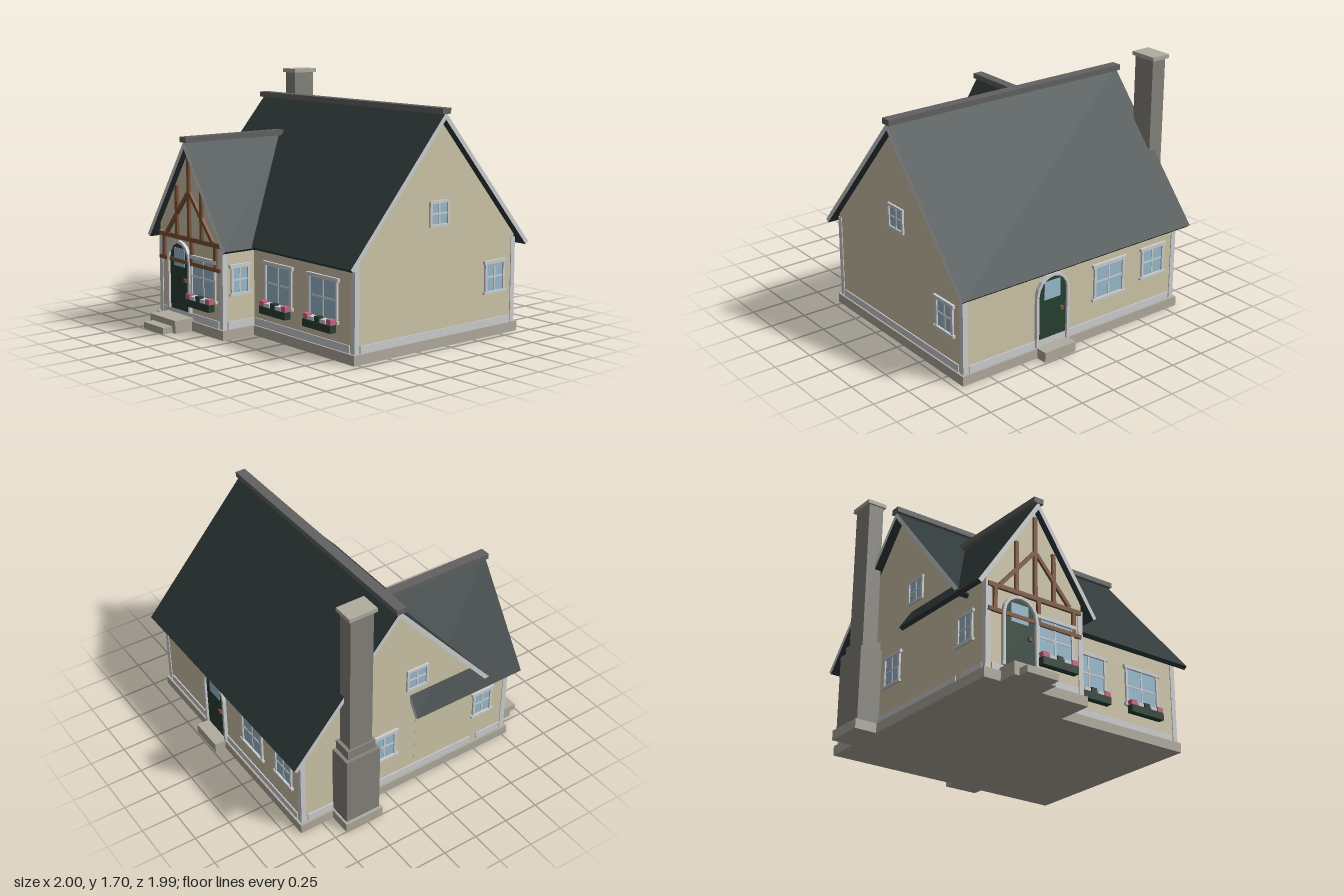
import * as THREE from 'three';

const mat = (name, color) => Object.assign(new THREE.MeshStandardMaterial({ color }), { name });
const M = {
  wall: mat('cream plaster', 0xd0c7ab),
  trim: mat('pale trim', 0xcfd0d2),
  roof: mat('dark slate', 0x2f3939),
  ridge: mat('ridge grey', 0x626262),
  stone: mat('pale stone', 0xb2ac9f),
  brick: mat('chimney grey', 0x85837b),
  green: mat('dark green', 0x284032),
  glass: mat('window blue', 0x9abccf),
  timber: mat('timber brown', 0x7c5236),
  pink: mat('flower pink', 0xcc6482),
};

function add(parent, name, geometry, material) {
  const mesh = new THREE.Mesh(geometry, material);
  mesh.name = name;
  parent.add(mesh);
  return mesh;
}

// Box given by its min and max on each axis
function box(parent, name, m, x0, x1, y0, y1, z0, z1) {
  const mesh = add(parent, name, new THREE.BoxGeometry(x1 - x0, y1 - y0, z1 - z0), m);
  mesh.position.set((x0 + x1) / 2, (y0 + y1) / 2, (z0 + z1) / 2);
  return mesh;
}

function extrude(points, depth) {
  const shape = new THREE.Shape(points.map(([x, y]) => new THREE.Vector2(x, y)));
  return new THREE.ExtrudeGeometry(shape, { depth, bevelEnabled: false });
}

// Gabled roof over a matching pentagon wall, running along local z
function gable(parent, name, o) {
  const g = new THREE.Group();
  g.name = name;
  const slope = (o.peak - o.eave) / o.half;
  const a = Math.atan(slope), t = 0.03;
  const under = o.peak - t / Math.cos(a);
  const lx = o.half - t * Math.sin(a), ly = o.eave - t * Math.cos(a);
  const roof = add(g, name + 'Roof', extrude([[-o.half, o.eave], [-lx, ly], [0, under],
    [lx, ly], [o.half, o.eave], [0, o.peak]], o.roof[1] - o.roof[0]), [M.trim, M.roof]);
  roof.position.z = o.roof[0];
  const top = under + 0.005, side = top - slope * o.wallHalf;
  const wall = add(g, name + 'Walls', extrude([[-o.wallHalf, 0.06], [o.wallHalf, 0.06],
    [o.wallHalf, side], [0, top], [-o.wallHalf, side]], o.wall[1] - o.wall[0]), M.wall);
  wall.position.z = o.wall[0];
  box(g, name + 'RidgeCap', M.ridge, -0.036, 0.036, o.peak - 0.01, o.peak + 0.027, ...o.cap);
  parent.add(g);
  return g;
}

// Group standing on a wall, its local +z pointing out of the wall
function onWall(parent, name, x, z, turn) {
  const g = new THREE.Group();
  g.name = name;
  g.position.set(x, 0, z);
  g.rotation.y = turn * Math.PI / 2;
  parent.add(g);
  return g;
}

function makeWindow(g, w, y0, y1, lintel = true) {
  const h = w / 2, f = 0.018, my = (y0 + y1) / 2;
  box(g, 'glass', M.glass, -h + f, h - f, y0 + f, y1 - f, 0, 0.004);
  for (const s of [-1, 1]) box(g, 'frameSide', M.trim, s * (h - f / 2) - f / 2, s * (h - f / 2) + f / 2, y0, y1, 0, 0.014);
  const e = lintel ? 0.013 : 0;
  box(g, 'sill', M.trim, -h - e, h + e, y0, y0 + f, 0, lintel ? 0.02 : 0.014);
  box(g, 'lintel', M.trim, -h - e, h + e, y1 - f - e / 2, y1, 0, lintel ? 0.018 : 0.014);
  box(g, 'mullion', M.trim, -0.006, 0.006, y0 + f, y1 - f, 0, 0.008);
  box(g, 'glazingBar', M.trim, -h + f, h - f, my - 0.006, my + 0.006, 0, 0.008);
}

function makePlanter(g) {
  box(g, 'planter', M.green, -0.137, 0.137, 0.175, 0.225, 0.015, 0.062);
  const blooms = [M.pink, M.trim, M.green, M.trim, M.pink];
  blooms.forEach((m, i) => {
    const x = (i - 2) * 0.057, r = i % 2 ? 0.026 : 0.022;
    box(g, 'bloom', m, x - r, x + r, 0.225, i % 2 ? 0.25 : 0.26, 0.018, 0.058);
  });
}

// Arched outline, walked counter-clockwise
function archPoints(r, y0, spring) {
  const pts = [[-r, y0], [r, y0]];
  for (let i = 0; i <= 8; i++) pts.push([r * Math.cos(i * Math.PI / 8), spring + r * Math.sin(i * Math.PI / 8)]);
  return pts;
}

function makeDoor(g, y0, spring) {
  const outer = archPoints(0.134, y0, spring), inner = archPoints(0.114, y0, spring);
  add(g, 'doorFrame', extrude([inner[1], ...outer.slice(1), outer[0], inner[0], ...inner.slice(2).reverse()], 0.024), M.trim);
  add(g, 'doorLeaf', extrude(inner, 0.008), M.green);
  box(g, 'doorGlass', M.glass, -0.064, 0.064, spring - 0.045, spring + 0.08, 0.006, 0.012);
  box(g, 'doorHandle', M.timber, 0.06, 0.085, spring - 0.145, spring - 0.12, 0.006, 0.025);
}

export function createModel() {
  const house = new THREE.Group();
  house.name = 'cottage';

  // Foundations and steps
  box(house, 'mainFoundation', M.stone, -0.845, 0.955, 0, 0.066, -0.912, 0.532);
  box(house, 'wingFoundation', M.stone, -0.845, -0.062, 0, 0.066, 0.5, 0.787);
  box(house, 'chimneyFoundation', M.stone, -1, -0.8, 0, 0.066, -0.665, -0.38);
  box(house, 'frontUpperStep', M.stone, -0.725, -0.42, 0, 0.087, 0.76, 0.92);
  box(house, 'frontLowerStep', M.stone, -0.69, -0.457, 0, 0.045, 0.9, 0.995);
  box(house, 'backStep', M.stone, 0.12, 0.37, 0, 0.07, -0.99, -0.88);

  // Main house runs along x, front wing along z
  const main = gable(house, 'main', { half: 0.782, eave: 0.61, peak: 1.515, wallHalf: 0.7,
    roof: [-0.88, 0.99], wall: [-0.82, 0.935], cap: [-0.89, 0.997] });
  main.rotation.y = Math.PI / 2;
  main.position.z = -0.19;
  const wing = gable(house, 'wing', { half: 0.457, eave: 0.602, peak: 1.283, wallHalf: 0.3675,
    roof: [-0.05, 0.81], wall: [0, 0.765], cap: [0, 0.816] });
  wing.position.x = -0.4535;

  // Chimney
  box(house, 'chimneyBase', M.brick, -0.98, -0.81, 0.06, 0.585, -0.65, -0.395);
  box(house, 'chimneyShoulder', M.brick, -0.957, -0.81, 0.585, 0.65, -0.625, -0.415);
  box(house, 'chimneyStack', M.brick, -0.945, -0.835, 0.65, 1.675, -0.602, -0.435);
  box(house, 'chimneyCap', M.stone, -0.962, -0.82, 1.67, 1.697, -0.62, -0.42);

  // Corner boards
  const corners = [[-0.82, -0.89, 1, 1], [0.935, -0.89, -1, 1], [0.935, 0.51, -1, -1],
    [-0.82, 0.765, 1, -1], [-0.085, 0.765, -1, -1]];
  for (const [x, z, sx, sz] of corners) {
    const cx = x + sx * 0.012, cz = z + sz * 0.012;
    box(house, 'cornerBoard', M.trim, cx - 0.018, cx + 0.018, 0.066, 0.64, cz - 0.018, cz + 0.018);
  }

  // Baseboards
  const boards = [[-0.07, 0.89, 0.5, 0.518], [-0.78, -0.13, 0.755, 0.773], [-0.775, 0.89, -0.898, -0.88],
    [0.925, 0.943, -0.845, 0.47], [-0.828, -0.81, -0.845, 0.47], [-0.095, -0.077, 0.52, 0.73], [-0.828, -0.81, 0.53, 0.73]];
  for (const [x0, x1, z0, z1] of boards) box(house, 'baseboard', M.trim, x0, x1, 0.066, 0.115, z0, z1);

  // Large windows with flower boxes
  for (const [x, z] of [[0.182, 0.51], [0.637, 0.51], [-0.3, 0.765]]) {
    const g = onWall(house, 'frontWindow', x, z, 0);
    makeWindow(g, 0.285, 0.23, 0.518);
    makePlanter(g);
  }

  // Side and back windows: x, z, quarter turns, width, bottom, top, lintel
  const windows = [
    [0.935, -0.705, 1, 0.185, 0.285, 0.51, true],
    [0.935, -0.19, 1, 0.17, 0.785, 0.955, false],
    [-0.085, 0.63, 1, 0.15, 0.285, 0.495, true],
    [-0.236, -0.89, 2, 0.26, 0.25, 0.51, true],
    [-0.62, -0.89, 2, 0.2, 0.285, 0.51, true],
    [-0.82, 0, -1, 0.17, 0.785, 0.955, false],
    [-0.82, -0.25, -1, 0.185, 0.285, 0.51, true],
    [-0.82, 0.56, -1, 0.16, 0.285, 0.495, true],
  ];
  for (const [x, z, turn, w, y0, y1, lintel] of windows) makeWindow(onWall(house, 'window', x, z, turn), w, y0, y1, lintel);

  // Doors
  makeDoor(onWall(house, 'frontDoor', -0.575, 0.765, 0), 0.115, 0.462);
  makeDoor(onWall(house, 'backDoor', 0.245, -0.89, 2), 0.07, 0.43);

  // Half-timbering on the wing gable, x measured from its centre line
  const frame = onWall(house, 'halfTimbering', -0.455, 0.765, 0);
  const beam = (x0, y0, x1, y1, w = 0.026) => {
    const b = add(frame, 'beam', new THREE.BoxGeometry(Math.hypot(x1 - x0, y1 - y0), w, 0.022), M.timber);
    b.position.set((x0 + x1) / 2, (y0 + y1) / 2, 0.006);
    b.rotation.z = Math.atan2(y1 - y0, x1 - x0);
  };
  beam(-0.357, 0.62, 0.357, 0.62, 0.03);
  beam(-0.357, 0.457, 0.357, 0.457);
  beam(0, 0.63, 0, 1.185);
  for (const x of [-0.305, 0.025, 0.3]) beam(x, 0.47, x, 0.605);
  for (const s of [-1, 1]) {
    beam(s * 0.145, 0.63, s * 0.145, 0.97);
    beam(s * 0.27, 0.635, s * 0.01, 0.93);
  }
  return house;
}
